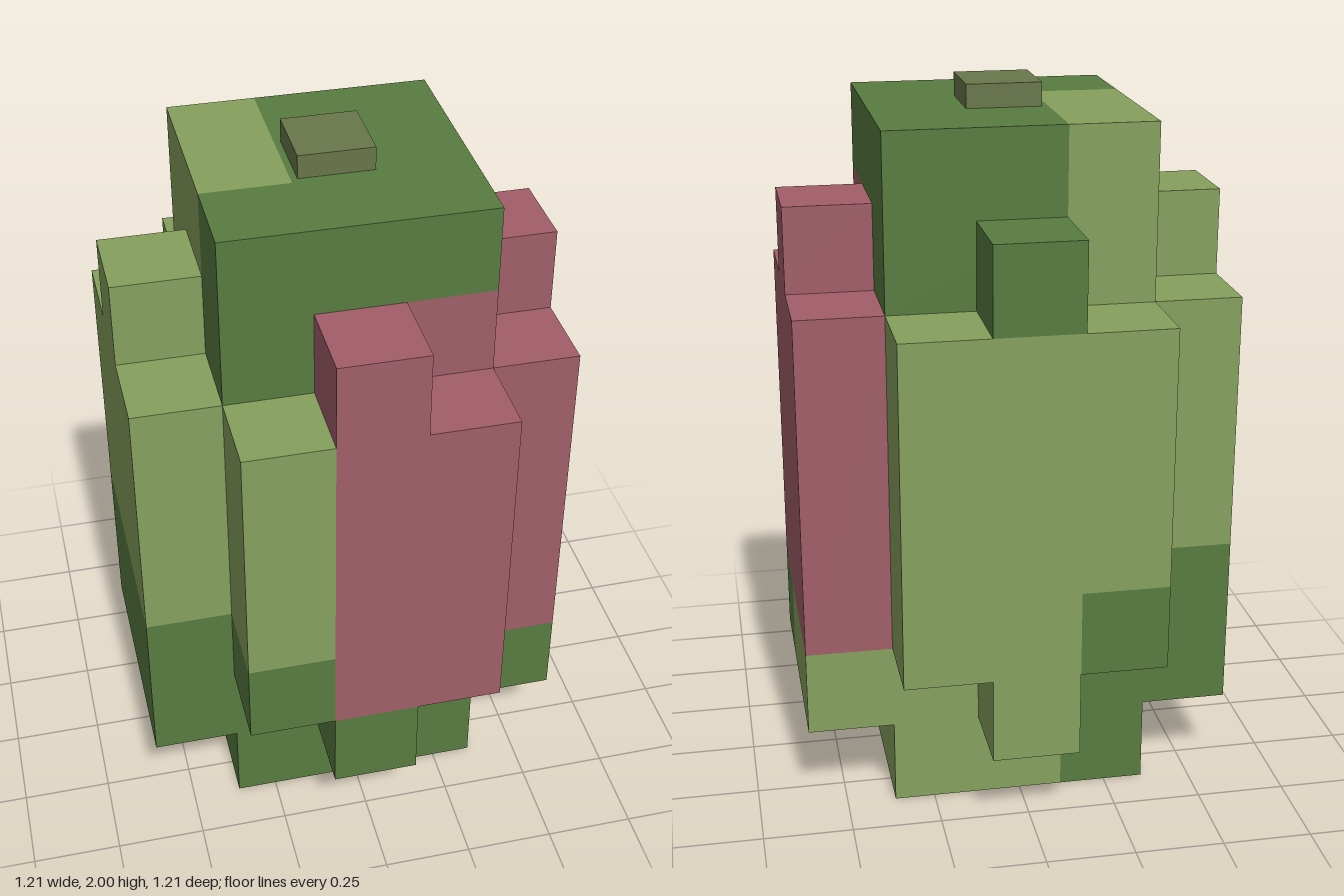
import * as THREE from 'three';

const U = 0.2419; // edge of one block

export function createModel() {
  const model = new THREE.Group();
  model.name = 'blockBud';
  const material = (name, color) => {
    const m = new THREE.MeshStandardMaterial({ color });
    m.name = name;
    return m;
  };
  const dark = material('darkGreen', 0x587c40);
  const light = material('lightGreen', 0x85a05e);
  const red = material('dustyRed', 0xa15e69);
  const olive = material('oliveStem', 0x69764a);

  const part = (name) => {
    const g = new THREE.Group();
    g.name = name;
    model.add(g);
    return g;
  };
  // Box between two corners, measured in blocks
  const box = (group, name, mat, [x0, x1], [y0, y1], [z0, z1]) => {
    const mesh = new THREE.Mesh(new THREE.BoxGeometry((x1 - x0) * U, (y1 - y0) * U, (z1 - z0) * U), mat);
    mesh.position.set((x0 + x1) * U / 2, (y0 + y1) * U / 2, (z0 + z1) * U / 2);
    mesh.name = name;
    group.add(mesh);
  };
  const full = [-1.5, 1.5], mid = [-0.5, 0.5];
  const low = [-1.5, -0.5], high = [-0.5, 1.5];   // split after the first block
  const near = [0.5, 1.5], far = [-1.5, 0.5];     // split before the last block
  const plus = [1.5, 2.5], minus = [-2.5, -1.5];  // slabs outside the core

  // Core: three blocks wide and eight tall
  const core = part('core');
  box(core, 'baseFront', dark, full, [0, 2], near);
  box(core, 'baseBackCorner', dark, low, [0, 2], far);
  box(core, 'baseBack', light, high, [0, 2], far);
  box(core, 'middle', dark, full, [2, 6], full);
  box(core, 'shoulderFrontCorner', dark, low, [6, 7], near);
  box(core, 'shoulderRed', red, high, [6, 7], high);
  box(core, 'shoulderBack', dark, high, [6, 7], low);
  box(core, 'topFront', dark, full, [7, 8], near);
  box(core, 'topBack', dark, high, [7, 8], far);
  box(core, 'topPaleCorner', light, low, [6, 8], far);

  // Front petal with centre tabs above and below
  const front = part('frontPetal');
  box(front, 'panel', red, high, [2, 6], plus);
  box(front, 'paleColumn', light, low, [3, 6], plus);
  box(front, 'paleColumnFoot', dark, low, [2, 3], plus);
  box(front, 'topTab', red, mid, [6, 7], plus);
  box(front, 'bottomTab', dark, mid, [1, 2], plus);

  // Back petal with centre tabs above and below
  const back = part('backPetal');
  box(back, 'panel', light, high, [2, 6], minus);
  box(back, 'sideColumn', light, low, [3, 6], minus);
  box(back, 'sideColumnFoot', dark, low, [2, 3], minus);
  box(back, 'topTab', dark, mid, [6, 7], minus);
  box(back, 'bottomTab', light, mid, [1, 2], minus);

  // Left petal (+x), full width at the bottom
  const left = part('leftPetal');
  box(left, 'panel', red, plus, [2, 6], full);
  box(left, 'topTab', red, plus, [6, 7], mid);
  box(left, 'footFront', dark, plus, [1, 2], near);
  box(left, 'footBack', light, plus, [1, 2], far);

  // Right petal (-x), full width at the bottom
  const right = part('rightPetal');
  box(right, 'panel', light, minus, [3, 6], full);
  box(right, 'topTab', light, minus, [6, 7], mid);
  box(right, 'foot', dark, minus, [1, 3], full);

  // Stem stub
  const s = 0.103 / U;
  box(part('stem'), 'stemStub', olive, [-s, s], [8, 2 / U], [-s, s]);

  return model;
}
